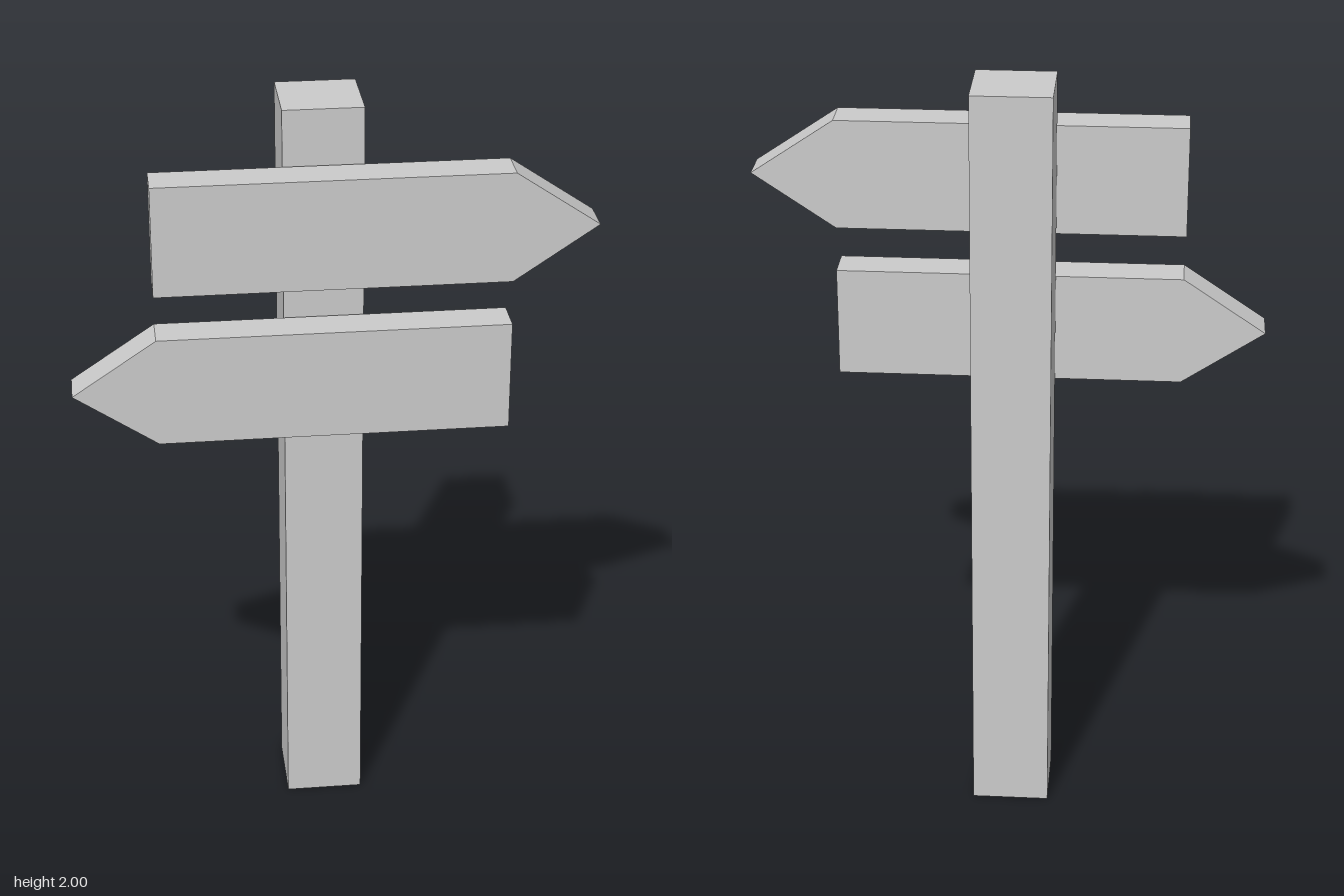
import * as THREE from 'three';

const material = new THREE.MeshStandardMaterial({
  color: 0xcccccc, flatShading: true, side: THREE.DoubleSide,
});

// Square post with an open underside
function createPost(width, height) {
  const geometry = new THREE.BoxGeometry(width, height, width);
  const index = Array.from(geometry.index.array);
  index.splice(18, 6); // drop the bottom face
  geometry.setIndex(index);
  geometry.clearGroups();
  const post = new THREE.Mesh(geometry, material);
  post.name = 'post';
  post.position.set(-0.021, height / 2, -0.0655);
  return post;
}

// Arrow-shaped board pointing along +x, centred on its thickness
function createBoard() {
  const half = 0.143, depth = 0.1;
  const shape = new THREE.Shape([
    [-0.445, -half], [0.442, -half], [0.654, 0], [0.442, half], [-0.445, half],
  ].map(([x, y]) => new THREE.Vector2(x, y)));
  return new THREE.ExtrudeGeometry(shape, { depth, bevelEnabled: false })
    .translate(0, 0, -depth / 2);
}

export function createModel() {
  const model = new THREE.Group();
  model.name = 'signpost';
  const turn = 0.032; // whole sign is turned slightly about the vertical

  const post = createPost(0.202, 2);
  post.rotation.y = turn;
  model.add(post);

  // Two boards pointing opposite ways
  const boards = new THREE.Group();
  boards.name = 'boards';
  boards.position.z = 0.093;
  boards.rotation.y = turn;
  const boardGeometry = createBoard();
  for (const [name, y, spin] of [['upperArrowBoard', 1.715, 0], ['lowerArrowBoard', 1.3125, Math.PI]]) {
    const board = new THREE.Mesh(boardGeometry, material);
    board.name = name;
    board.position.y = y;
    board.rotation.z = spin;
    boards.add(board);
  }
  model.add(boards);
  return model;
}
